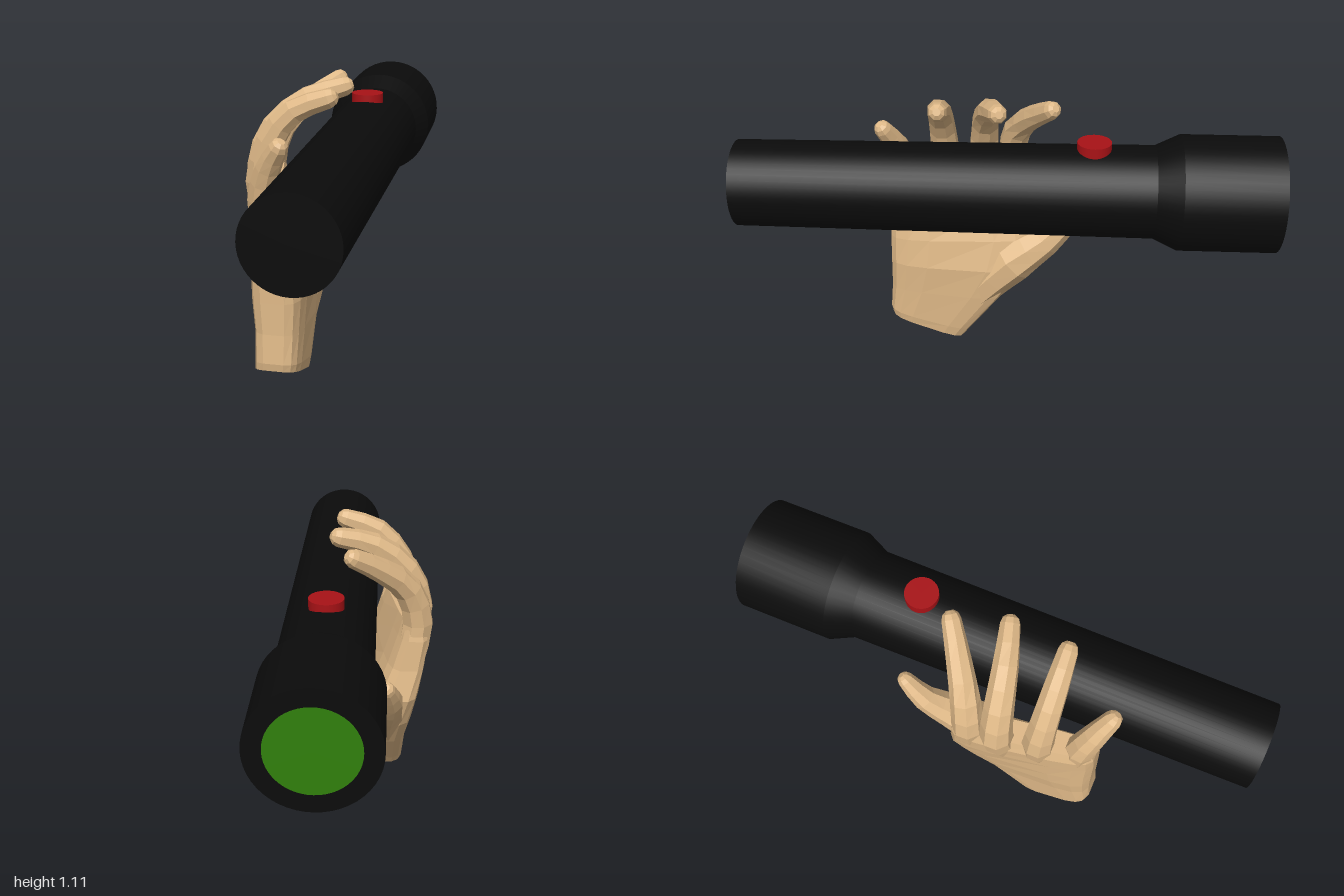
import * as THREE from 'three';

const V = (x, y, z) => new THREE.Vector3(x, y, z);
const material = (color, flatShading = false) => {
  const m = new THREE.MeshStandardMaterial({ color: 0xcccccc, flatShading });
  m.color.set(color);
  return m;
};

// Skin over a row of rings { c, u, v }, where u x v points along the row; power < 1 squares the ring
function loft(rings, sides, power = 1) {
  const pos = [], idx = [];
  const bend = (s) => Math.sign(s) * Math.pow(Math.abs(s), power);
  rings.forEach(({ c, u, v }) => {
    for (let j = 0; j < sides; j++) {
      const a = ((j + 0.5) / sides) * Math.PI * 2;
      const p = c.clone().addScaledVector(u, bend(Math.cos(a))).addScaledVector(v, bend(Math.sin(a)));
      pos.push(p.x, p.y, p.z);
    }
  });
  const last = rings.length - 1;
  for (let i = 0; i < last; i++) {
    for (let j = 0; j < sides; j++) {
      const k = (j + 1) % sides, a = i * sides, b = a + sides;
      idx.push(a + j, a + k, b + k, a + j, b + k, b + j);
    }
  }
  for (let j = 1; j < sides - 1; j++) {
    idx.push(0, j + 1, j, last * sides, last * sides + j, last * sides + j + 1);
  }
  const g = new THREE.BufferGeometry();
  g.setAttribute('position', new THREE.Float32BufferAttribute(pos, 3));
  g.setIndex(idx);
  g.computeVertexNormals();
  return g;
}

// Tapered finger through points [x, y, z, radius], with a rounded tip
function digit(points, side, flat = 1) {
  const curve = new THREE.CatmullRomCurve3(points.map((p) => V(p[0], p[1], p[2])));
  const rings = [], steps = (points.length - 1) * 2;
  const add = (c, t, r) => {
    const u = side.clone().addScaledVector(t, -side.dot(t)).normalize();
    rings.push({ c, u: u.clone().multiplyScalar(r), v: t.clone().cross(u).multiplyScalar(r * flat) });
  };
  for (let i = 0; i <= steps; i++) {
    const s = i / 2, k = Math.min(Math.floor(s), points.length - 2);
    const r = THREE.MathUtils.lerp(points[k][3], points[k + 1][3], s - k);
    add(curve.getPoint(i / steps), curve.getTangent(i / steps), r);
  }
  const end = curve.getPoint(1), t = curve.getTangent(1), r = points[points.length - 1][3];
  add(end.clone().addScaledVector(t, r * 0.55), t, r * 0.8);
  add(end.clone().addScaledVector(t, r * 0.85), t, r * 0.4);
  return loft(rings, 8);
}

export function createModel() {
  const root = new THREE.Group();
  const add = (parent, name, geometry, mat) => {
    const mesh = new THREE.Mesh(geometry, mat);
    mesh.name = name;
    parent.add(mesh);
    return mesh;
  };

  // Flashlight, lying along z with its lens at the back
  const black = material(0x0b0b0b);
  const light = new THREE.Group();
  light.name = 'flashlight';
  light.position.set(0.085, 0.79, 0);
  root.add(light);
  const section = (name, z0, z1, r0, r1, open) => {
    const g = new THREE.CylinderGeometry(r1, r0, z1 - z0, 48, 1, open);
    g.rotateX(Math.PI / 2).translate(0, 0, (z0 + z1) / 2);
    add(light, name, g, black);
  };
  section('handleTube', -0.55, 1, 0.173, 0.162, false);
  section('headTaper', -0.64, -0.55, 0.215, 0.173, true);
  section('head', -1, -0.64, 0.215, 0.215, true);
  const rim = add(light, 'lensRim', new THREE.RingGeometry(0.152, 0.215, 48), black);
  const lens = add(light, 'lens', new THREE.CircleGeometry(0.152, 48), material(0x30800c));
  for (const m of [rim, lens]) {
    m.rotation.y = Math.PI;
    m.position.z = -1;
  }
  const button = add(light, 'button', new THREE.CylinderGeometry(0.063, 0.063, 0.045, 32), material(0xa81216));
  button.position.set(0, 0.175, -0.325);

  // Hand
  const skin = material(0xdeb887, true);
  const hand = new THREE.Group();
  hand.name = 'hand';
  root.add(hand);

  // Palm rows: front edge x, y, z; back edge x, y, z; half thickness
  const palmRows = [
    [-0.115, 0.11, 0.48, -0.115, 0.0, 0.18, 0.083],
    [-0.112, 0.14, 0.485, -0.115, 0.04, 0.15, 0.086],
    [-0.112, 0.25, 0.475, -0.12, 0.2, 0.02, 0.09],
    [-0.115, 0.37, 0.472, -0.135, 0.33, -0.07, 0.1],
    [-0.12, 0.48, 0.47, -0.17, 0.46, -0.11, 0.093],
    [-0.13, 0.6, 0.468, -0.21, 0.58, -0.085, 0.078],
    [-0.145, 0.69, 0.462, -0.235, 0.7, -0.075, 0.064],
    [-0.15, 0.74, 0.445, -0.235, 0.77, -0.06, 0.045],
  ];
  const palm = palmRows.map(([fx, fy, fz, bx, by, bz, h]) => {
    const f = V(fx, fy, fz), b = V(bx, by, bz);
    return { c: f.clone().add(b).multiplyScalar(0.5), u: f.sub(b).multiplyScalar(0.5), v: V(h, 0, 0) };
  });
  add(hand, 'palm', loft(palm, 16, 0.5), skin);

  // Fingers curl over the tube
  const fingers = {
    indexFinger: [[-0.21, 0.6, -0.02, 0.06], [-0.24, 0.76, -0.012, 0.06], [-0.2, 0.9, -0.035, 0.055],
      [-0.1, 1.0, -0.1, 0.045], [0, 1.072, -0.168, 0.035]],
    middleFinger: [[-0.2, 0.6, 0.11, 0.065], [-0.24, 0.78, 0.1, 0.062], [-0.19, 0.93, 0.09, 0.055],
      [-0.07, 1.035, 0.065, 0.047], [0.06, 1.078, 0.028, 0.037]],
    ringFinger: [[-0.17, 0.6, 0.25, 0.065], [-0.205, 0.76, 0.25, 0.06], [-0.17, 0.91, 0.255, 0.052],
      [-0.08, 1.025, 0.255, 0.046], [0.045, 1.075, 0.248, 0.037]],
    littleFinger: [[-0.14, 0.6, 0.385, 0.065], [-0.16, 0.74, 0.4, 0.056], [-0.13, 0.86, 0.435, 0.046],
      [-0.082, 0.945, 0.473, 0.035]],
  };
  for (const [name, points] of Object.entries(fingers)) add(hand, name, digit(points, V(0, 0, 1)), skin);

  // Thumb, reaching out below the tube
  const thumb = [[-0.11, 0.2, 0.13, 0.08], [-0.105, 0.36, -0.02, 0.095], [-0.12, 0.45, -0.15, 0.07],
    [-0.14, 0.54, -0.245, 0.05], [-0.128, 0.63, -0.325, 0.032]];
  add(hand, 'thumb', digit(thumb, V(1, 0, 0)), skin);

  return root;
}
